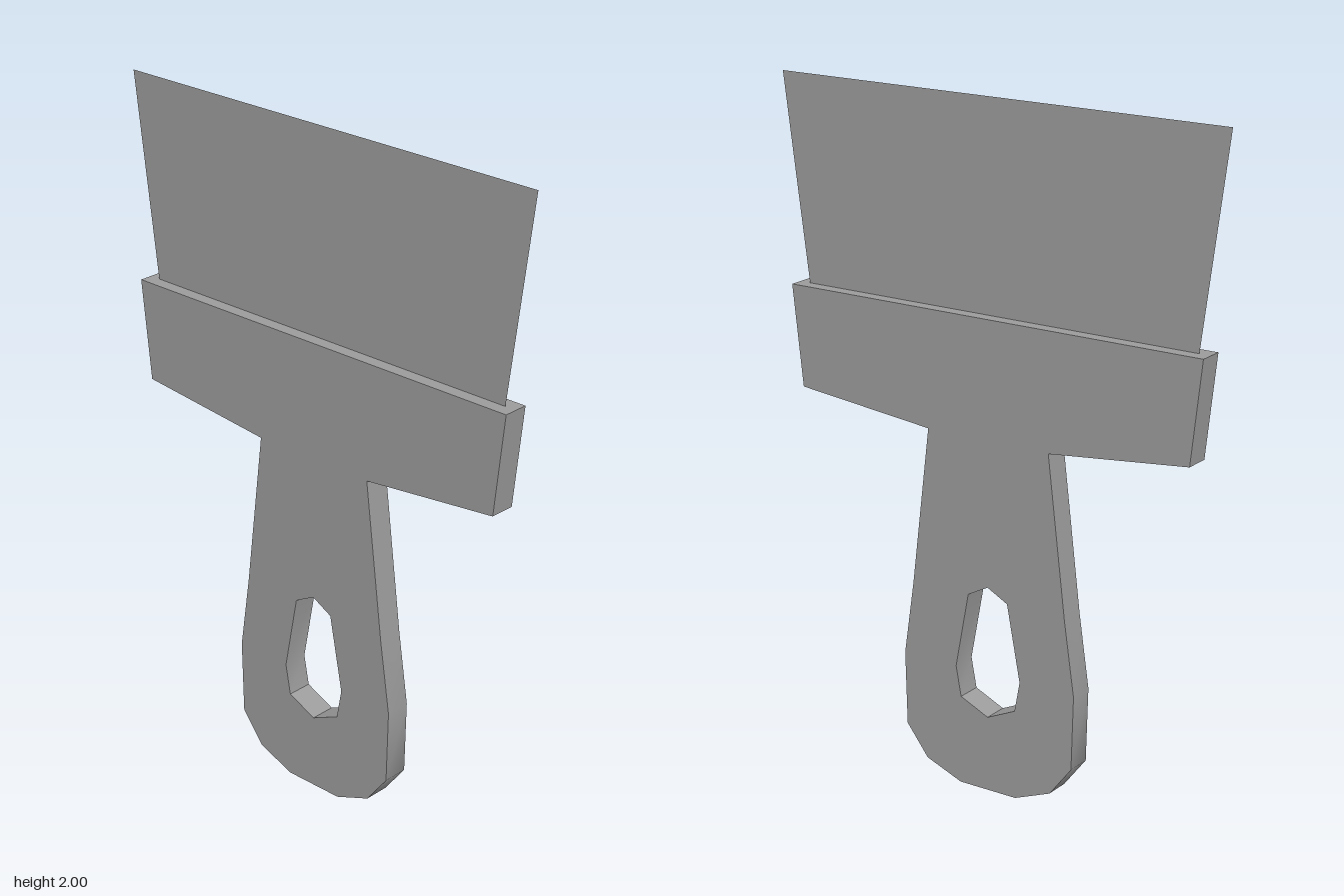
import * as THREE from 'three';
import { toCreasedNormals } from 'three/addons/utils/BufferGeometryUtils.js';

const DEPTH = 0.077;
const COLOR = 0x9b9b9b;

// Mirror a right-hand profile (listed bottom to top) into a closed loop
function mirrored(half) {
  const left = half.filter(([x]) => x > 0).reverse().map(([x, y]) => [-x, y]);
  return [...half, ...left].map(([x, y]) => new THREE.Vector2(x, y));
}

export function createModel() {
  const group = new THREE.Group();

  // Flat handle with a flared collar and a hanging hole; the rounded end is shaded smoothly
  const outline = new THREE.Shape(mirrored([
    [0.095, 0], [0.212, 0.046], [0.283, 0.138], [0.289, 0.36], [0.257, 0.58],
    [0.2, 1.055], [0.64, 1.101], [0.673, 1.4],
  ]));
  outline.holes.push(new THREE.Path(mirrored([
    [0, 0.227], [0.092, 0.269], [0.109, 0.36], [0.066, 0.588], [0, 0.623],
  ])));
  const handleGeometry = new THREE.ExtrudeGeometry(outline, { depth: DEPTH, bevelEnabled: false });
  handleGeometry.translate(0, 0, -DEPTH / 2);
  const handle = new THREE.Mesh(
    toCreasedNormals(handleGeometry, 0.7),
    new THREE.MeshStandardMaterial({ color: COLOR }),
  );
  handle.name = 'handle';
  group.add(handle);

  // Paper-thin blade standing in the middle of the collar
  const blade = new THREE.Mesh(
    new THREE.ShapeGeometry(new THREE.Shape(mirrored([[0.638, 1.395], [0.718, 2]]))),
    new THREE.MeshStandardMaterial({ color: COLOR, side: THREE.DoubleSide }),
  );
  blade.name = 'blade';
  group.add(blade);

  return group;
}
